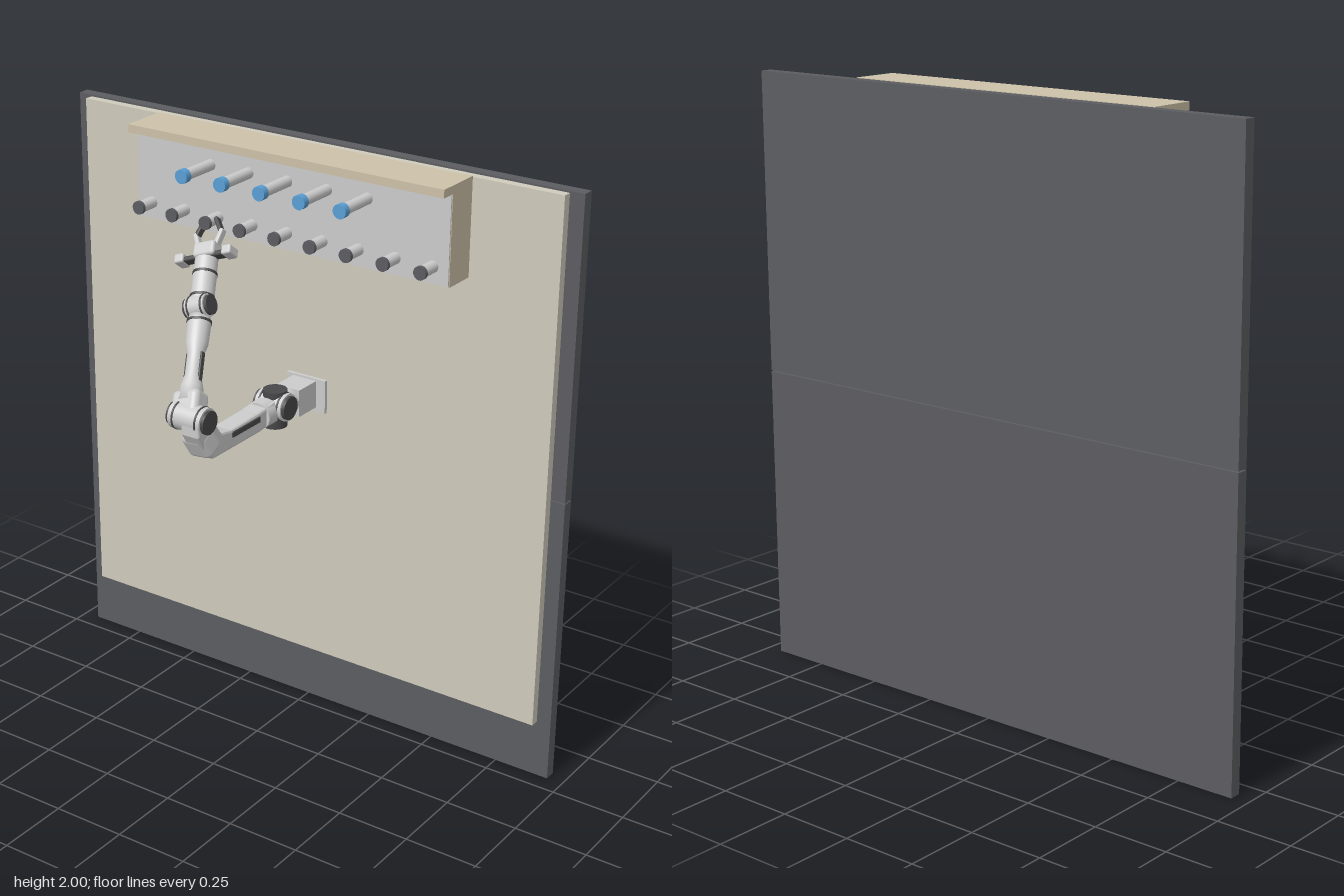
import * as THREE from 'three';
import { RoundedBoxGeometry } from 'three/addons/geometries/RoundedBoxGeometry.js';

const mat = (color) => new THREE.MeshStandardMaterial({ color });
const DARK = mat(0x5c5d61), CREAM = mat(0xcfcabc), TAN = mat(0xcdc1a8);
const PANEL = mat(0xd6d6d6), GREY = mat(0xcccccc), BLUE = mat(0x5a9fd4), BLACK = mat(0x48484a);

function add(parent, name, geometry, material, x = 0, y = 0, z = 0) {
  const mesh = new THREE.Mesh(geometry, material);
  mesh.name = name;
  mesh.position.set(x, y, z);
  parent.add(mesh);
  return mesh;
}

// Box given by its min and max corners
function box(parent, name, material, [x0, y0, z0], [x1, y1, z1]) {
  return add(parent, name, new THREE.BoxGeometry(x1 - x0, y1 - y0, z1 - z0), material,
    (x0 + x1) / 2, (y0 + y1) / 2, (z0 + z1) / 2);
}

// Cylinder centred on a point, along the given axis
function rod(parent, name, material, r, length, axis, x, y, z) {
  const g = new THREE.CylinderGeometry(r, r, length, 28);
  if (axis === 'x') g.rotateZ(Math.PI / 2);
  if (axis === 'z') g.rotateX(Math.PI / 2);
  return add(parent, name, g, material, x, y, z);
}

function rounded(parent, name, material, w, h, d, r, x, y, z) {
  return add(parent, name, new RoundedBoxGeometry(w, h, d, 3, r), material, x, y, z);
}

// Joint: drum along x with a dark cap at each end
function joint(parent, name, r, width, x, y, z) {
  const g = new THREE.Group();
  g.name = name;
  g.position.set(x, y, z);
  rod(g, 'jointDrum', GREY, r, width, 'x', 0, 0, 0);
  for (const s of [-1, 1]) {
    rod(g, 'jointCap', BLACK, r * 0.85, 0.012, 'x', s * (width / 2 + 0.005), 0, 0);
    rod(g, 'jointRing', BLACK, r * 1.04, 0.006, 'x', s * width * 0.36, 0, 0);
  }
  parent.add(g);
  return g;
}

function buildWall(root) {
  box(root, 'lowerBackPanel', DARK, [-0.945, 0, -0.35], [0.945, 0.998, -0.31]);
  box(root, 'upperBackPanel', DARK, [-0.945, 1.002, -0.35], [0.945, 2, -0.31]);
  box(root, 'frontBoard', CREAM, [-0.895, 0.2, -0.31], [0.895, 1.994, -0.28]);
  box(root, 'pegHousing', TAN, [-0.587, 1.677, -0.28], [0.587, 1.97, -0.166]);
  box(root, 'housingLid', TAN, [-0.587, 1.97, -0.28], [0.587, 1.997, -0.115]);
  box(root, 'pegPanel', PANEL, [-0.585, 1.679, -0.166], [0.585, 1.967, -0.162]);
}

function buildPegs(root) {
  // Long pegs with blue ends
  for (let i = -2; i <= 2; i++) {
    const x = i * 0.147;
    rod(root, 'longPeg', GREY, 0.018, 0.134, 'z', x, 1.903, -0.097);
    rod(root, 'bluePegEnd', BLUE, 0.023, 0.024, 'z', x, 1.903, -0.017);
  }
  // Short pegs with dark ends
  for (let i = -4; i <= 4; i++) {
    const x = i * 0.1325;
    rod(root, 'shortPeg', GREY, 0.019, 0.07, 'z', x, 1.735, -0.13);
    rod(root, 'darkPegEnd', DARK, 0.022, 0.012, 'z', x, 1.735, -0.091);
  }
}

function buildUpperArm(arm) {
  // Wall mount and shoulder
  box(arm, 'mountPlate', GREY, [-0.07, 1.1, -0.28], [0.08, 1.215, -0.268]);
  box(arm, 'mountBlock', GREY, [-0.045, 1.115, -0.268], [0.045, 1.208, -0.17]);
  rod(arm, 'shoulderCollar', GREY, 0.045, 0.06, 'z', 0, 1.163, -0.155);
  joint(arm, 'shoulderJoint', 0.046, 0.1, 0, 1.175, -0.1);
  rod(arm, 'shoulderTurret', BLACK, 0.04, 0.125, 'y', 0, 1.165, -0.1);
  rod(arm, 'shoulderSleeve', GREY, 0.044, 0.06, 'z', -0.003, 1.165, -0.04);

  // Arm beam, side outline in (z, y), bending up to the elbow
  const s = new THREE.Shape();
  [[-0.06, 1.14], [0.03, 1.132], [0.27, 1.132], [0.3, 1.148], [0.345, 1.225], [0.345, 1.26],
    [0.285, 1.27], [0.23, 1.198], [0.18, 1.188], [0.03, 1.192], [-0.06, 1.2]]
    .forEach(([z, y], i) => (i ? s.lineTo(z, y) : s.moveTo(z, y)));
  const beam = new THREE.ExtrudeGeometry(s, {
    depth: 0.052, bevelEnabled: true, bevelSize: 0.008, bevelThickness: 0.008, bevelSegments: 2, bevelOffset: -0.004,
  });
  beam.translate(0, 0, -0.026);
  beam.rotateY(-Math.PI / 2);
  add(arm, 'upperArmBeam', beam, GREY, -0.005, 0, 0);
  for (const side of [-1, 1])
    rounded(arm, 'upperArmInset', BLACK, 0.008, 0.02, 0.15, 0.003, -0.005 + side * 0.034, 1.175, 0.1);

  // Elbow
  joint(arm, 'elbowJoint', 0.045, 0.12, -0.03, 1.265, 0.305);
  const cover = rounded(arm, 'elbowCover', GREY, 0.09, 0.09, 0.075, 0.02, -0.01, 1.185, 0.285);
  cover.rotation.set(0.5, 0, 0.15);
}

function buildForearm(arm) {
  // Local y runs from the elbow to the fingertips
  const start = new THREE.Vector3(-0.045, 1.27, 0.3), end = new THREE.Vector3(-0.265, 1.745, -0.125);
  const f = new THREE.Group();
  f.name = 'forearm';
  f.position.copy(start);
  f.quaternion.setFromUnitVectors(new THREE.Vector3(0, 1, 0), end.clone().sub(start).normalize());
  arm.add(f);

  rounded(f, 'elbowFork', GREY, 0.1, 0.1, 0.075, 0.02, 0, 0.025, 0);
  // Slim link flaring into the wrist sleeve
  const profile = [[0, 0.04], [0.042, 0.04], [0.036, 0.09], [0.026, 0.13], [0.026, 0.2], [0.036, 0.235],
    [0.038, 0.31], [0.034, 0.33], [0, 0.33]].map(([r, y]) => new THREE.Vector2(r, y));
  add(f, 'forearmLink', new THREE.LatheGeometry(profile, 28), GREY);
  for (const side of [-1, 1])
    rounded(f, 'forearmInset', BLACK, 0.008, 0.11, 0.018, 0.003, side * 0.027, 0.15, 0);

  // Wrist
  joint(f, 'wristJoint', 0.037, 0.07, 0, 0.36, 0.008);
  rod(f, 'wristSleeve', GREY, 0.038, 0.1, 'y', 0, 0.425, 0);
  for (const y of [0.31, 0.395, 0.475]) rod(f, 'wristRing', BLACK, 0.04, 0.008, 'y', 0, y, 0);
  rod(f, 'toolFlange', GREY, 0.037, 0.05, 'y', 0, 0.5, 0);

  // Gripper: wide crossbar, palm and two bent fingers
  rounded(f, 'gripperCrossbar', BLACK, 0.2, 0.018, 0.035, 0.006, -0.005, 0.535, 0);
  for (const side of [-1, 1])
    rounded(f, 'crossbarEnd', GREY, 0.035, 0.032, 0.05, 0.007, -0.005 + side * 0.09, 0.538, 0);
  rounded(f, 'gripperPalm', GREY, 0.08, 0.05, 0.055, 0.01, 0, 0.555, 0);
  for (const side of [-1, 1]) {
    const knuckle = rounded(f, 'fingerKnuckle', GREY, 0.016, 0.065, 0.025, 0.005, side * 0.04, 0.592, 0);
    knuckle.rotation.z = -side * 0.35;
    const finger = rounded(f, 'finger', BLACK, 0.014, 0.065, 0.024, 0.004, side * 0.035, 0.638, 0);
    finger.rotation.z = side * 0.45;
  }
}

export function createModel() {
  const root = new THREE.Group();
  root.name = 'wallStationWithArm';
  buildWall(root);
  buildPegs(root);
  const arm = new THREE.Group();
  arm.name = 'robotArm';
  root.add(arm);
  buildUpperArm(arm);
  buildForearm(arm);
  return root;
}
